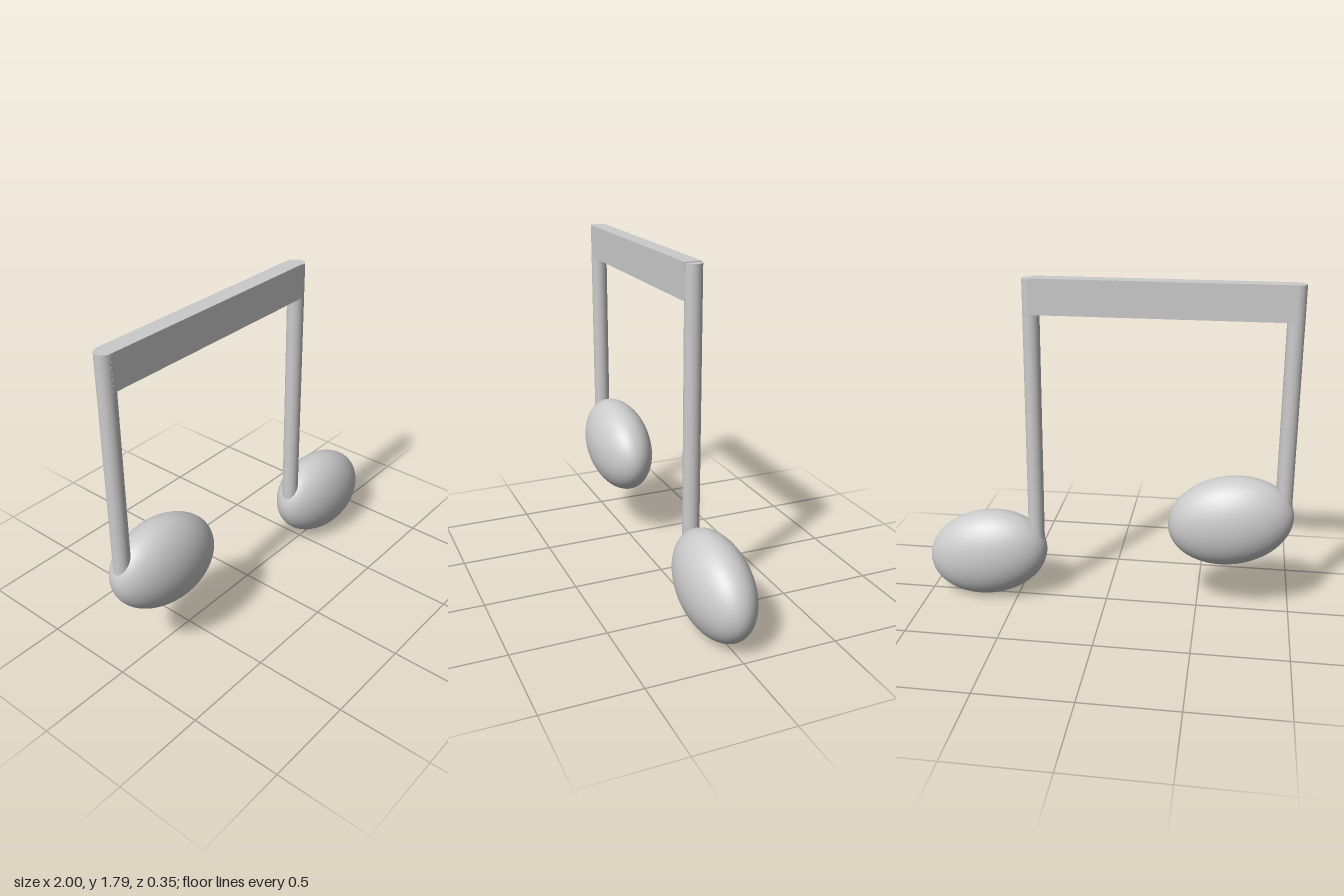
import * as THREE from 'three';

const material = new THREE.MeshStandardMaterial({ color: 0xcccccc });
const STEM_RADIUS = 0.044;

function addMesh(parent, name, geometry, x, y) {
  const mesh = new THREE.Mesh(geometry, material);
  mesh.name = name;
  mesh.position.set(x, y, 0);
  parent.add(mesh);
  return mesh;
}

// One note: a tilted ellipsoid head with a round stem rising from its -x end
function addNote(parent, side, headX, headY, stemX, stemTop) {
  const note = new THREE.Group();
  note.name = side + 'Note';

  const head = addMesh(note, side + 'Head', new THREE.SphereGeometry(1, 64, 40), headX, headY);
  head.scale.set(0.336, 0.244, 0.174);
  head.rotation.z = THREE.MathUtils.degToRad(-12.8);

  const stemBottom = headY + 0.03;
  const height = stemTop - stemBottom;
  const stem = new THREE.CylinderGeometry(STEM_RADIUS, STEM_RADIUS, height, 40);
  addMesh(note, side + 'Stem', stem, stemX, stemBottom + height / 2);
  parent.add(note);
}

export function createModel() {
  const model = new THREE.Group();
  model.name = 'beamedNotes';

  addNote(model, 'right', -0.666, 0.53, -0.941, 1.797);
  addNote(model, 'left', 0.666, 0.255, 0.39, 1.793);

  // Flat beam joining the stem tops, from stem axis to stem axis
  const beam = new THREE.BoxGeometry(1.327, 0.185, 0.09);
  addMesh(model, 'beam', beam, -0.2775, 1.7055);

  return model;
}
